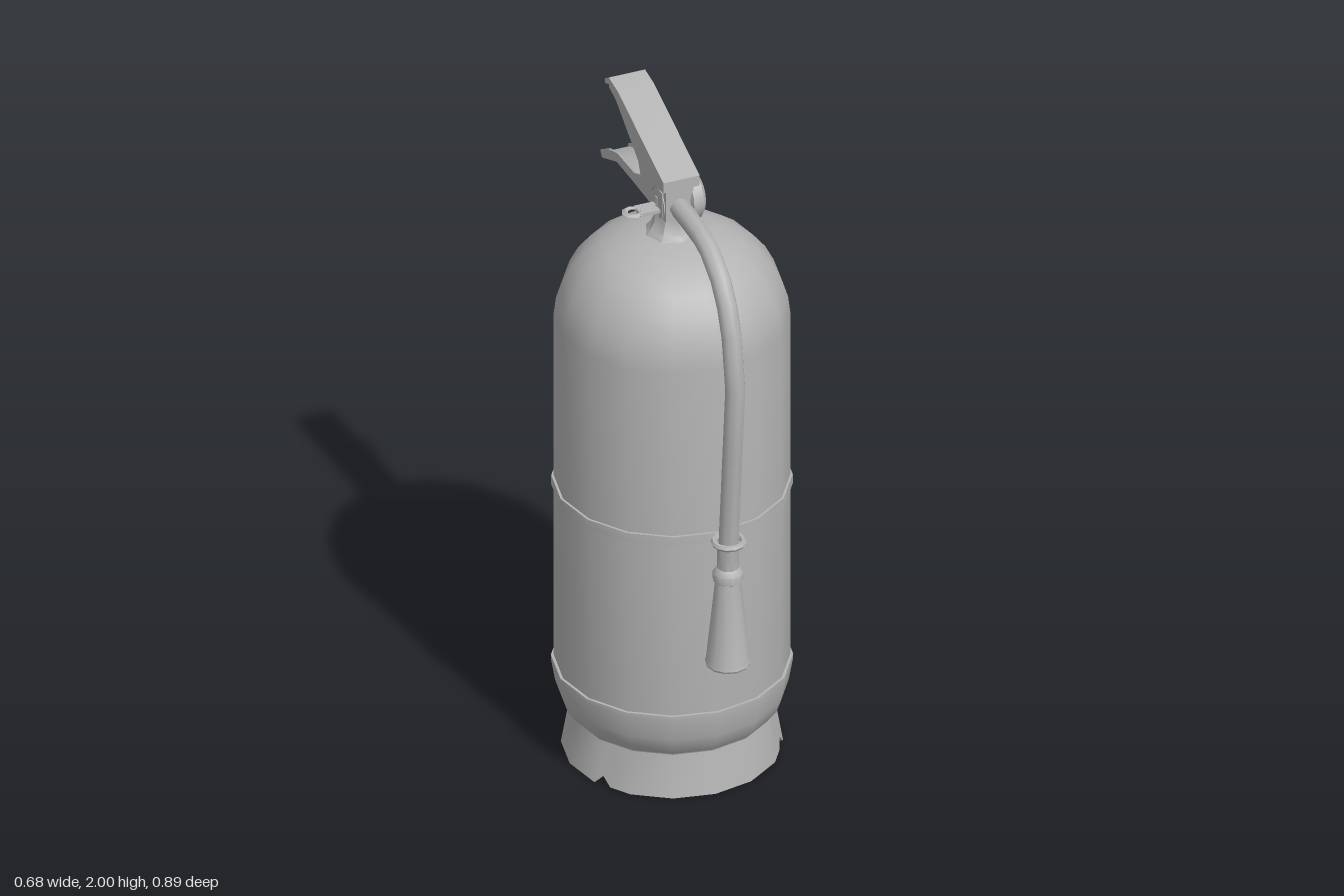
import * as THREE from 'three';
import { toCreasedNormals } from 'three/addons/utils/BufferGeometryUtils.js';

const CZ = -0.038; // tank axis

export function createModel() {
  const model = new THREE.Group();
  model.name = 'fireExtinguisher';
  const grey = new THREE.MeshStandardMaterial({ color: 0xb4b4b4, name: 'plain grey' });

  const add = (name, geo, parent = model) => {
    const mesh = new THREE.Mesh(toCreasedNormals(geo, 0.6), grey);
    mesh.name = name;
    parent.add(mesh);
    return mesh;
  };
  const lathe = (name, pts, z, sides, parent) => {
    const geo = new THREE.LatheGeometry(pts.map(p => new THREE.Vector2(...p)), sides);
    return add(name, geo.translate(0, 0, z), parent);
  };
  // side outline as [-z, y], extruded from x0 to x1
  const plate = (name, pts, x0, x1, parent) => {
    const shape = new THREE.Shape(pts.map(p => new THREE.Vector2(...p)));
    const geo = new THREE.ExtrudeGeometry(shape, { depth: x1 - x0, bevelEnabled: false });
    return add(name, geo.rotateY(Math.PI / 2).translate(x0, 0, 0), parent);
  };

  // Tank, middle strap and lower boot
  lathe('tank', [
    [0, 0.1], [0.28, 0.11], [0.325, 0.22], [0.33, 0.28], [0.33, 1.4], [0.324, 1.45], [0.308, 1.5],
    [0.282, 1.55], [0.246, 1.595], [0.2, 1.63], [0.14, 1.655], [0.07, 1.672], [0, 1.672],
  ], CZ, 16);
  lathe('strap', [[0.328, 0.84], [0.337, 0.84], [0.337, 0.87], [0.328, 0.87]], CZ, 16);
  lathe('boot', [
    [0.27, 0.13], [0.287, 0.13], [0.314, 0.165], [0.326, 0.2], [0.338, 0.27], [0.338, 0.283], [0.326, 0.283],
  ], CZ, 16);

  // Hollow skirt with four drain notches cut into its lower rim
  const step = Math.PI / 8, half = 0.085;
  const notches = [1.09, 2.31, -2.31, -1.09];
  const angles = [];
  for (let i = 0; i < 16; i++) angles.push(-Math.PI + i * step);
  notches.forEach(a => angles.push(a - half, a, a + half));
  angles.sort((a, b) => a - b);
  const pos = [], index = [];
  angles.forEach((a, i) => {
    const rise = Math.max(0, ...notches.map(n => 0.027 * (1 - Math.abs(a - n) / half)));
    const local = a - (Math.floor(a / step + 1e-6) + 0.5) * step;
    const chord = Math.cos(step / 2) / Math.cos(local);
    const section = [[0.287, 0.135], [0.31 - rise * 0.17, rise], [0.295 - rise * 0.17, rise], [0.272, 0.135]];
    section.forEach(([r, y], j) => {
      pos.push(r * chord * Math.sin(a), y, r * chord * Math.cos(a) + CZ);
      const n = ((i + 1) % angles.length) * 4, k = (j + 1) % 4;
      index.push(i * 4 + j, i * 4 + k, n + j, i * 4 + k, n + k, n + j);
    });
  });
  const skirt = new THREE.BufferGeometry();
  skirt.setAttribute('position', new THREE.Float32BufferAttribute(pos, 3));
  skirt.setIndex(index);
  add('skirt', skirt);

  // Valve: neck, block and round gauge
  const valve = new THREE.Group();
  valve.name = 'valve';
  model.add(valve);
  lathe('neck', [
    [0.085, 1.66], [0.075, 1.675], [0.066, 1.685], [0.053, 1.71], [0.05, 1.74], [0.05, 1.79], [0, 1.79],
  ], CZ, 8, valve);
  add('valveBlock', new THREE.BoxGeometry(0.084, 0.1, 0.11).translate(0, 1.785, CZ), valve);
  const gauge = new THREE.LatheGeometry(
    [[0, -0.045], [0.05, -0.045], [0.05, 0.03], [0.071, 0.038], [0.071, 0.068], [0.055, 0.08], [0, 0.08]]
      .map(p => new THREE.Vector2(...p)), 16);
  add('gauge', gauge.rotateZ(-Math.PI / 2).translate(0, 1.775, CZ), valve);

  // Safety pin with its pull ring
  const pin = new THREE.Group();
  pin.name = 'safetyPin';
  model.add(pin);
  add('pinShaft', new THREE.BoxGeometry(0.07, 0.01, 0.05).translate(-0.07, 1.755, CZ), pin);
  add('pullRing', new THREE.TorusGeometry(0.024, 0.009, 4, 8).rotateX(Math.PI / 2)
    .scale(1, 0.6, 1).translate(-0.118, 1.756, CZ), pin);

  // Squeeze lever: top plate over two side flanges
  const lever = new THREE.Group();
  lever.name = 'squeezeLever';
  model.add(lever);
  plate('leverTop', [
    [-0.03, 1.84], [0.295, 1.968], [0.35, 1.982], [0.385, 1.968], [0.39, 1.98], [0.36, 2], [0.295, 1.99], [-0.03, 1.873],
  ], -0.055, 0.055, lever);
  // Carrying handle: upward-open channel with a drooping tip
  const handle = new THREE.Group();
  handle.name = 'carryHandle';
  model.add(handle);
  plate('handlePlate', [
    [0, 1.745], [0.2, 1.747], [0.325, 1.745], [0.425, 1.703], [0.433, 1.712], [0.325, 1.757], [0.2, 1.759], [0, 1.757],
  ], -0.042, 0.042, handle);
  for (const s of [-1, 1]) {
    const [a, b] = s < 0 ? [-0.055, -0.047] : [0.047, 0.055];
    plate('leverFlange', [
      [-0.03, 1.84], [0.03, 1.835], [0.06, 1.8], [0.125, 1.79], [0.15, 1.845], [0.2, 1.88],
      [0.31, 1.955], [0.36, 1.97], [0.36, 1.982], [0.295, 1.985], [-0.03, 1.87],
    ], a, b, lever);
    const [c, d] = s < 0 ? [-0.046, -0.038] : [0.038, 0.046];
    plate('handleFlange', [
      [0, 1.742], [0.2, 1.744], [0.325, 1.742], [0.43, 1.697], [0.443, 1.715], [0.39, 1.748],
      [0.32, 1.772], [0.2, 1.776], [0.12, 1.81], [0, 1.82],
    ], c, d, handle);
  }

  // Hose, with one ring at each path point
  const path = [
    [1.775, -0.03], [1.772, 0.1], [1.768, 0.17], [1.753, 0.23], [1.7, 0.31], [1.64, 0.355], [1.56, 0.387],
    [1.4, 0.414], [1.2, 0.396], [1.0, 0.378], [0.88, 0.367], [0.77, 0.363],
  ].map(([y, z]) => new THREE.Vector3(0, y, z));
  const curve = new THREE.CatmullRomCurve3(path);
  curve.getPointAt = curve.getPoint;
  curve.getTangentAt = curve.getTangent;
  const hose = new THREE.TubeGeometry(curve, path.length - 1, 0.03, 8);
  const hoseMesh = new THREE.Mesh(hose, grey);
  hoseMesh.name = 'hose';
  model.add(hoseMesh);

  // Nozzle: clip ring, collar and hollow flared horn
  const nozzle = new THREE.Group();
  nozzle.name = 'nozzle';
  model.add(nozzle);
  add('clipRing', new THREE.TorusGeometry(0.042, 0.009, 6, 12).rotateX(Math.PI / 2).translate(0, 0.879, 0.367), nozzle);
  lathe('horn', [
    [0, 0.74], [0.025, 0.72], [0.056, 0.482], [0.062, 0.48], [0.065, 0.486], [0.062, 0.495], [0.036, 0.75],
    [0.043, 0.755], [0.043, 0.778], [0.035, 0.79], [0.031, 0.795], [0.031, 0.87], [0, 0.87],
  ], 0.362, 12, nozzle);

  return model;
}
